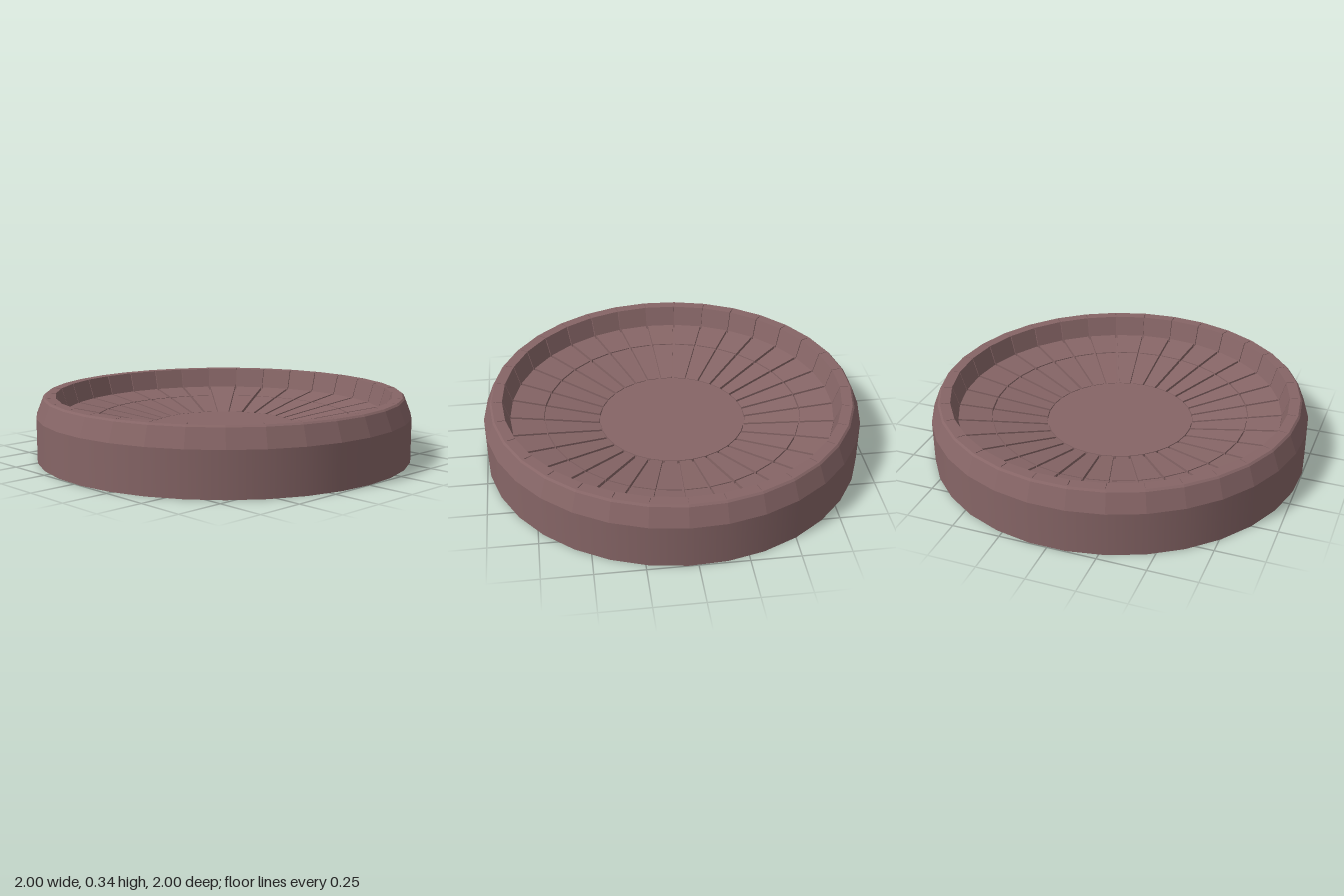
import * as THREE from 'three';
import { mergeGeometries } from 'three/addons/utils/BufferGeometryUtils.js';

const SIDES = 33;
const STEP = (Math.PI * 2) / SIDES;

// Faceted copy of a geometry
function faceted(geometry) {
  const flat = geometry.index ? geometry.toNonIndexed() : geometry;
  flat.computeVertexNormals();
  return flat;
}

// Turned surface with a corner on the +x axis
function turned(points) {
  return new THREE.LatheGeometry(points.map(([r, y]) => new THREE.Vector2(r, y)), SIDES, Math.PI / 2);
}

// Ring of separate blocks: inner and outer are [radius, top, bottom, radius at bottom]
function blockRing(inner, outer, gap) {
  const block = new THREE.BoxGeometry(1, 1, 1);
  const p = block.attributes.position;
  for (let i = 0; i < p.count; i++) {
    const [rTop, top, bottom, rBottom = rTop] = p.getX(i) < 0 ? inner : outer;
    const upper = p.getY(i) > 0;
    const r = upper ? rTop : rBottom;
    const half = r * Math.sin(STEP / 2) - gap / 2;
    p.setXYZ(i, r * Math.cos(STEP / 2), upper ? top : bottom, Math.sign(p.getZ(i)) * half);
  }
  const flat = faceted(block);
  const blocks = [];
  for (let i = 0; i < SIDES; i++) blocks.push(flat.clone().rotateY((i + 0.5) * STEP));
  return mergeGeometries(blocks);
}

export function createModel() {
  const group = new THREE.Group();
  const stone = new THREE.MeshStandardMaterial({ color: 0x866566 });
  stone.name = 'dusty mauve';

  function add(name, geometry) {
    const mesh = new THREE.Mesh(geometry, stone);
    mesh.name = name;
    group.add(mesh);
  }

  // Solid base with a smooth outer wall
  add('underside', faceted(turned([[0, 0], [1, 0]])));
  add('outerWall', turned([[1, 0], [1, 0.232]]));

  // Sloping shoulder, rim top, and the bed under the blocks
  add('shoulder', faceted(turned([[1, 0.232], [0.962, 0.328], [0.952, 0.337], [0.94, 0.337]])));
  add('bed', faceted(turned([
    [0.94, 0.337], [0.94, 0.329], [0.907, 0.329], [0.868, 0.214], [0.39, 0.142], [0, 0.142],
  ])));

  // Inner rim and two rings of sloping panels, divided by narrow grooves
  add('innerRimBlocks', blockRing([0.897, 0.337, 0.2, 0.855], [0.94, 0.337, 0.2], 0.004));
  add('outerPanels', blockRing([0.687, 0.206, 0.18], [0.862, 0.232, 0.205], 0.014));
  add('innerPanels', blockRing([0.392, 0.16, 0.135], [0.68, 0.205, 0.18], 0.014));

  // Flat round centre
  const floor = new THREE.CylinderGeometry(0.387, 0.387, 0.03, SIDES, 1, false, Math.PI / 2);
  add('centreDisc', faceted(floor.translate(0, 0.145, 0)));

  return group;
}
